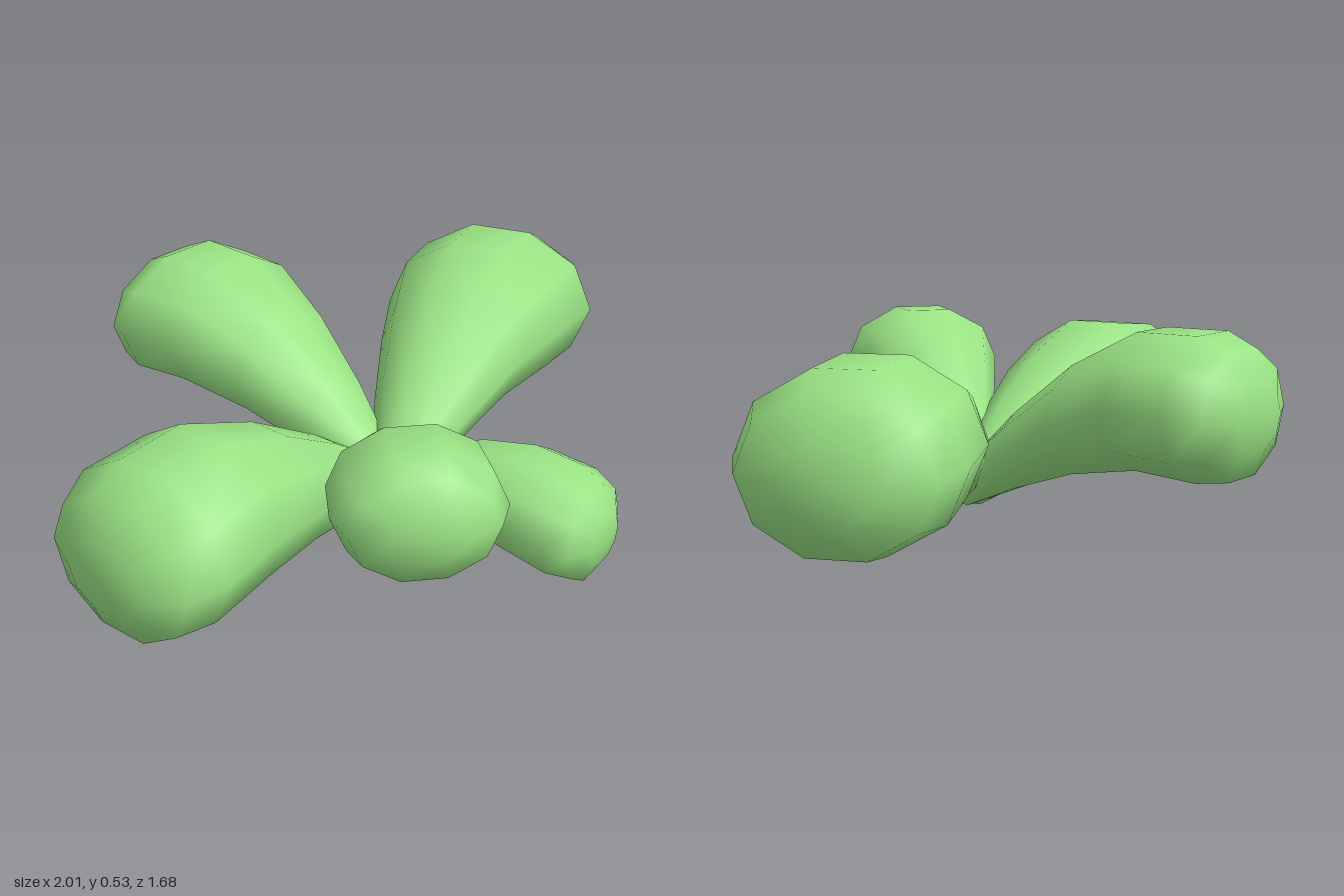
import * as THREE from 'three';

const SIDES = 10;
const material = new THREE.MeshStandardMaterial({ color: 0x9ae384 });

// Club profile shared by all leaves: [fraction of length, of width, of thickness].
const PROFILE = [
  [0, 0.23, 0.32], [0.2, 0.48, 0.56], [0.42, 0.72, 0.78], [0.65, 0.95, 0.96],
  [0.85, 1, 1], [0.95, 0.85, 0.87], [1, 0.45, 0.43],
];

// Lofts the profile along an arched spine from base [x, z] to tip [x, z].
// heights are the spine's y at even steps; width and thickness are half sizes.
function makeLeaf(name, base, tip, heights, width, thickness) {
  const from = new THREE.Vector3(base[0], 0, base[1]);
  const to = new THREE.Vector3(tip[0], 0, tip[1]);
  const spine = new THREE.CatmullRomCurve3(
    heights.map((y, i) => from.clone().lerp(to, i / (heights.length - 1)).setY(y)),
  );
  const forward = to.clone().sub(from).normalize();
  const across = new THREE.Vector3(0, 1, 0).cross(forward);
  const points = [];
  const index = [];

  // Elliptical rings, flat on top and underneath
  for (const [t, w, h] of PROFILE) {
    const centre = spine.getPoint(t);
    for (let j = 0; j < SIDES; j++) {
      const a = (j / SIDES) * Math.PI * 2;
      const point = centre.clone().addScaledVector(across, Math.cos(a) * w * width);
      point.y += Math.sin(a) * h * thickness * 1.05;
      points.push(point);
    }
  }

  // Closing points at base and tip
  const basePole = points.length;
  const tipPole = basePole + 1;
  points.push(spine.getPoint(0).addScaledVector(forward, -0.01));
  points.push(spine.getPoint(1).addScaledVector(forward, 0.008));

  const lastRow = (PROFILE.length - 1) * SIDES;
  for (let j = 0; j < SIDES; j++) {
    const k = (j + 1) % SIDES;
    for (let row = 0; row < lastRow; row += SIDES) {
      const next = row + SIDES;
      index.push(row + j, row + k, next + j, row + k, next + k, next + j);
    }
    index.push(basePole, k, j, lastRow + j, lastRow + k, tipPole);
  }

  const geometry = new THREE.BufferGeometry().setFromPoints(points);
  geometry.setIndex(index);
  geometry.computeVertexNormals();
  const mesh = new THREE.Mesh(geometry, material);
  mesh.name = name;
  return mesh;
}

export function createModel() {
  const group = new THREE.Group();
  group.name = 'succulentLeaves';
  group.add(
    makeLeaf('leftLeaf', [0.04, 0.11], [0.905, -0.475], [0.08, 0.25, 0.3, 0.25], 0.298, 0.222),
    makeLeaf('rightLeaf', [0, 0.08], [-0.968, 0.35], [0.075, 0.21, 0.275, 0.21], 0.28, 0.207),
    makeLeaf('backLeaf', [0.035, 0.055], [-0.19, -0.81], [0.075, 0.26, 0.365, 0.335], 0.27, 0.188),
    makeLeaf('frontRightLeaf', [-0.025, 0.125], [-0.328, 0.793], [0.075, 0.26, 0.365, 0.335], 0.222, 0.155),
    makeLeaf('frontLeftLeaf', [-0.015, 0.145], [0.27, 0.745], [0.09, 0.175, 0.175, 0.12], 0.18, 0.138),
  );
  return group;
}
